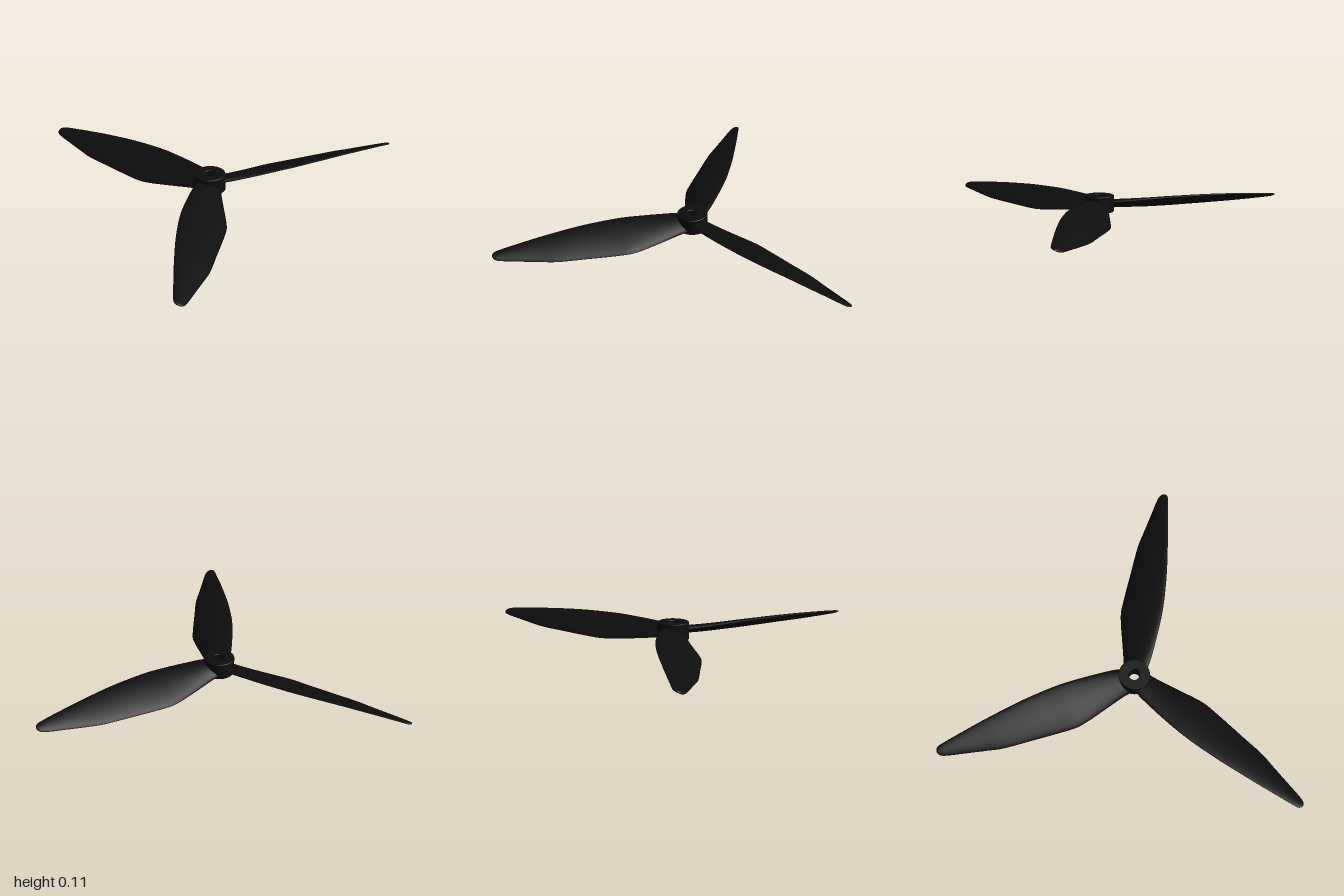
import * as THREE from 'three';

const material = new THREE.MeshStandardMaterial({ color: 0x0d0d0d });

// Blade stations: [radius, back z, front z, back y, front y, thickness]
const stations = [
  [0.045, -0.070, 0.060, 0.034, 0.082, 0.040],
  [0.08, -0.074, 0.070, 0.032, 0.084, 0.038],
  [0.20, -0.102, 0.084, 0.018, 0.089, 0.035],
  [0.33, -0.133, 0.093, 0.006, 0.094, 0.032],
  [0.39, -0.142, 0.095, 0.003, 0.096, 0.031],
  [0.47, -0.139, 0.094, 0.003, 0.096, 0.030],
  [0.64, -0.126, 0.082, 0.007, 0.094, 0.027],
  [0.81, -0.112, 0.061, 0.012, 0.087, 0.023],
  [0.89, -0.095, 0.050, 0.017, 0.082, 0.021],
  [1.00, -0.071, 0.033, 0.026, 0.074, 0.018],
  [1.10, -0.049, 0.017, 0.035, 0.065, 0.014],
  [1.127, -0.040, 0.011, 0.039, 0.061, 0.012],
  [1.14, -0.029, 0.001, 0.044, 0.057, 0.009],
  [1.145, -0.016, -0.014, 0.050, 0.051, 0.002],
];

// Lofts elliptical, slightly cambered sections between the two blade edges
function bladeGeometry(steps = 78, sides = 24) {
  const curve = (f) => new THREE.CatmullRomCurve3(stations.map(f));
  const back = curve((s) => new THREE.Vector3(s[0], s[3], s[1]));
  const front = curve((s) => new THREE.Vector3(s[0], s[4], s[2]));
  const thick = curve((s) => new THREE.Vector3(s[0], s[5], 0));
  const positions = [], index = [];
  for (let i = 0; i <= steps; i++) {
    const u = i / steps;
    const b = back.getPoint(u), f = front.getPoint(u), t = thick.getPoint(u).y;
    const slope = Math.atan2(f.y - b.y, f.z - b.z);
    for (let j = 0; j < sides; j++) {
      const a = (j / sides) * Math.PI * 2;
      const p = b.clone().lerp(f, 0.5 + 0.5 * Math.cos(a));
      const lift = t * (0.5 * Math.sin(a) + 0.2 * Math.sin(a) ** 2);
      positions.push(p.x, p.y + lift * Math.cos(slope), p.z - lift * Math.sin(slope));
    }
  }
  for (let i = 0; i < steps; i++) {
    for (let j = 0; j < sides; j++) {
      const k = (j + 1) % sides;
      const p = i * sides + j, q = i * sides + k;
      index.push(p, p + sides, q, q, p + sides, q + sides);
    }
  }
  // Close the tip
  const last = steps * sides;
  for (let j = 1; j < sides - 1; j++) index.push(last, last + j, last + j + 1);
  const geometry = new THREE.BufferGeometry();
  geometry.setAttribute('position', new THREE.Float32BufferAttribute(positions, 3));
  geometry.setIndex(index);
  geometry.computeVertexNormals();
  return geometry;
}

// Round hub with a through bore for the shaft
function hubGeometry() {
  const outline = new THREE.Shape().absarc(0, 0, 0.083, 0, Math.PI * 2);
  outline.holes.push(new THREE.Path().absarc(0, 0, 0.034, 0, Math.PI * 2, true));
  return new THREE.ExtrudeGeometry(outline, {
    depth: 0.09, curveSegments: 32, bevelThickness: 0.003, bevelSize: 0.003, bevelSegments: 1,
  }).rotateX(-Math.PI / 2).translate(0, 0.022, 0);
}

export function createModel() {
  const propeller = new THREE.Group();
  propeller.name = 'propeller';
  propeller.position.set(-0.275, 0, -0.005);

  const hub = new THREE.Mesh(hubGeometry(), material);
  hub.name = 'hub';
  propeller.add(hub);

  // Three identical blades around the hub
  const geometry = bladeGeometry();
  for (let i = 0; i < 3; i++) {
    const blade = new THREE.Mesh(geometry, material);
    blade.name = `blade${i + 1}`;
    blade.rotation.y = (i * Math.PI * 2) / 3;
    propeller.add(blade);
  }

  const model = new THREE.Group();
  model.add(propeller);
  return model;
}
